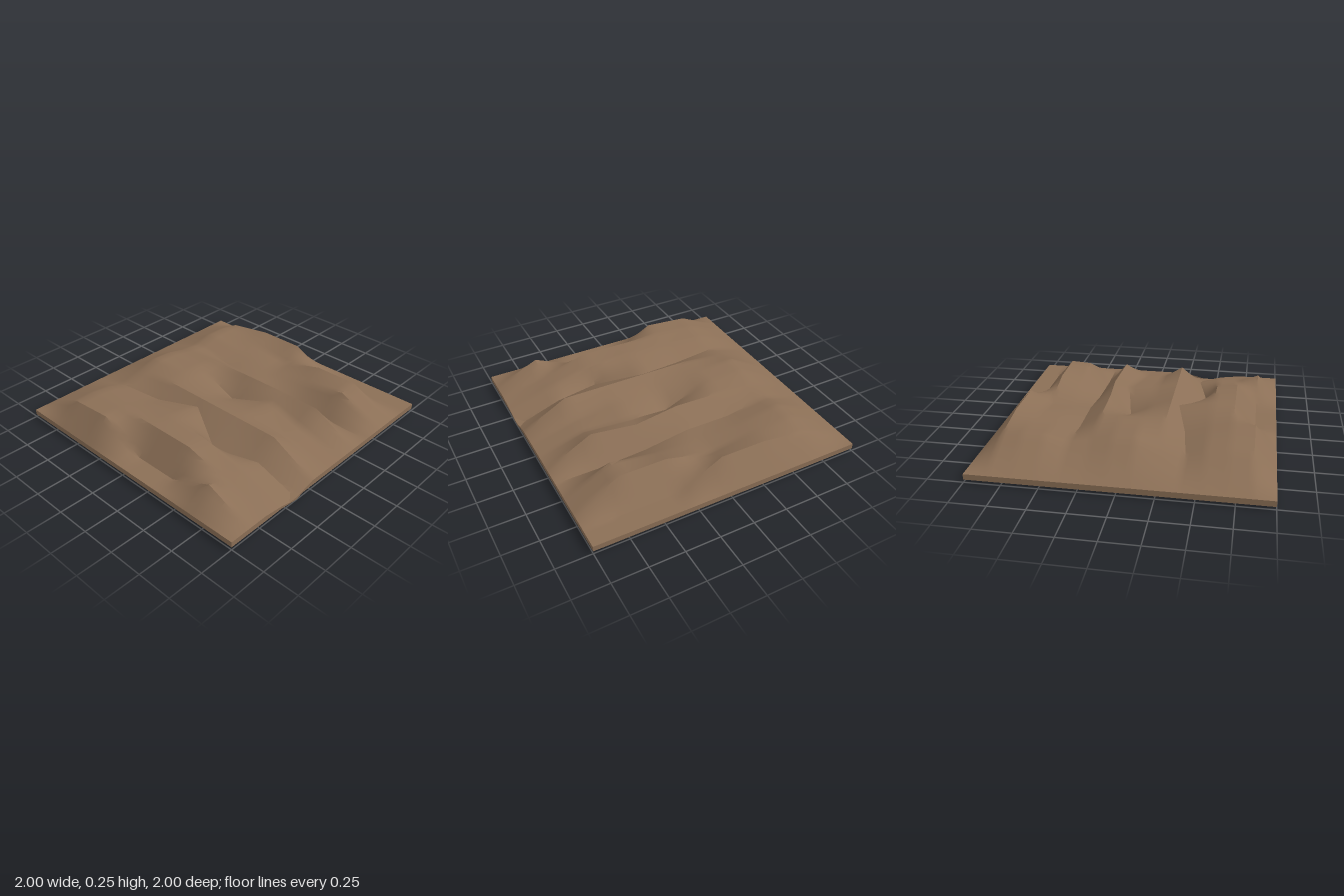
import * as THREE from 'three';
import { toCreasedNormals } from 'three/addons/utils/BufferGeometryUtils.js';

const RIM = 0.06, BASE = 0.02;
const COLS = 6, ROWS = 13, FINE = 5;

// heights of the five inner ridge lines, left to right, each from back to front (12 inner rows)
const RIDGES = [
  [0.19, 0.22, 0.22, 0.18, 0.20, 0.24, 0.25, 0.20, 0.15, 0.20, 0.22, 0.215],
  [0.24, 0.20, 0.17, 0.13, 0.23, 0.24, 0.24, 0.24, 0.15, 0.21, 0.24, 0.24],
  [0.24, 0.15, 0.14, 0.13, 0.24, 0.10, 0.18, 0.24, 0.20, 0.24, 0.24, 0.06],
  [0.06, 0.24, 0.17, 0.08, 0.22, 0.18, 0.20, 0.24, 0.10, 0.22, 0.24, 0.06],
  [0.06, 0.24, 0.23, 0.06, 0.24, 0.145, 0.145, 0.24, 0.115, 0.15, 0.145, 0.21],
];
// sideways bends of the gullies, as [column, row, z shift]
const BENDS = [[1, 9, 0.02], [2, 9, -0.02], [3, 9, -0.1], [4, 9, 0.08], [4, 5, -0.03], [4, 6, -0.07]];

function heightAt(i, j) {
  // notch in the right-hand rim
  if (i === COLS && j === 9) return 0;
  if (i === COLS && j === 10) return 0.04;
  if (i === 0 || i === COLS || j === 0 || j === ROWS) return RIM;
  return RIDGES[i - 1][j - 1];
}

function point(i, j, y = heightAt(i, j)) {
  const bend = BENDS.find(([c, r]) => c === i && r === j);
  return new THREE.Vector3((2 * i) / COLS - 1, y, (2 * j) / ROWS - 1 + (bend ? bend[2] : 0));
}

// point inside a grid cell, blended between its four corners
function blended(u, v) {
  const i = Math.min(Math.floor(u / FINE), COLS - 1), j = Math.min(Math.floor(v / FINE), ROWS - 1);
  const s = u / FINE - i, t = v / FINE - j;
  const back = point(i, j).lerp(point(i + 1, j), s);
  return back.lerp(point(i, j + 1).lerp(point(i + 1, j + 1), s), t);
}

export function createModel() {
  const group = new THREE.Group();
  group.name = 'groundTile';
  const material = new THREE.MeshStandardMaterial({ color: 0x8b6f56, side: THREE.DoubleSide });
  const add = (name, geometry) => {
    const mesh = new THREE.Mesh(geometry, material);
    mesh.name = name;
    group.add(mesh);
    return mesh;
  };

  // rolling top surface
  const land = new THREE.PlaneGeometry(2, 2, COLS * FINE, ROWS * FINE);
  for (let v = 0, k = 0; v <= ROWS * FINE; v++) {
    for (let u = 0; u <= COLS * FINE; u++) land.attributes.position.setXYZ(k++, ...blended(u, v));
  }
  add('terrain', toCreasedNormals(land, 0.65));

  // rim walls, walked once around the edge of the grid
  const edge = [];
  for (let i = 0; i < COLS; i++) edge.push([i, ROWS]);
  for (let j = ROWS; j > 0; j--) edge.push([COLS, j]);
  for (let i = COLS; i > 0; i--) edge.push([i, 0]);
  for (let j = 0; j < ROWS; j++) edge.push([0, j]);
  const corners = [];
  edge.forEach((a, k) => {
    const b = edge[(k + 1) % edge.length];
    const a0 = point(...a, BASE), b0 = point(...b, BASE);
    corners.push(a0, b0, point(...b), a0, point(...b), point(...a));
  });
  const walls = new THREE.BufferGeometry().setFromPoints(corners);
  walls.computeVertexNormals();
  add('rim', walls);

  // flat underside
  add('underside', new THREE.PlaneGeometry(2, 2).rotateX(Math.PI / 2)).position.y = BASE;

  return group;
}
